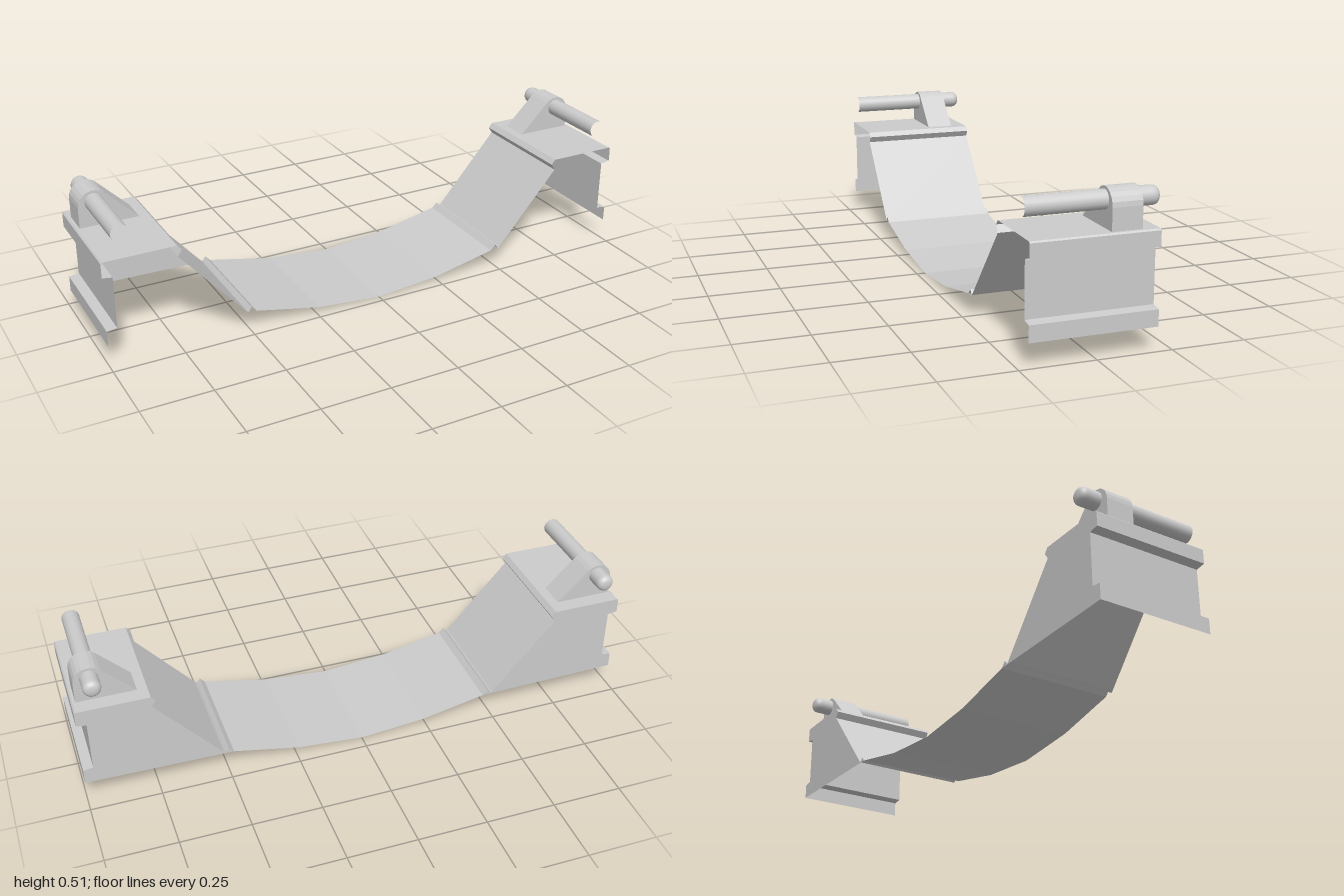
import * as THREE from 'three';

const BACK = -0.2, FRONT = 0.22;

const sheetMat = new THREE.MeshStandardMaterial({ color: 0xcccccc, flatShading: true, side: THREE.DoubleSide });
const pinMat = new THREE.MeshStandardMaterial({ color: 0xcccccc });

function add(parent, name, geometry, material) {
  const mesh = new THREE.Mesh(geometry, material);
  mesh.name = name;
  parent.add(mesh);
  return mesh;
}

// Thin sheet: a profile in x,y swept from back to front
function sweep(points) {
  const pos = [];
  for (let i = 0; i < points.length - 1; i++) {
    const [ax, ay] = points[i], [bx, by] = points[i + 1];
    pos.push(ax, ay, BACK, ax, ay, FRONT, bx, by, FRONT);
    pos.push(ax, ay, BACK, bx, by, FRONT, bx, by, BACK);
  }
  const g = new THREE.BufferGeometry();
  g.setAttribute('position', new THREE.Float32BufferAttribute(pos, 3));
  g.computeVertexNormals();
  return g;
}

// Profile of one end block, from the outer foot over the top to the sagging span
const blockProfile = [
  [1, 0.08], [1, 0.135], [0.965, 0.14], [0.965, 0.325], [1, 0.33], [1, 0.38], [0.995, 0.385],
  [0.745, 0.385], [0.73, 0.368], [0.745, 0.345],
  [0.515, 0.08], [0.508, 0.074], [0.495, 0.09], [0.477, 0.071],
];

function endBlock(s) {
  const block = new THREE.Group();
  block.name = s > 0 ? 'leftEndBlock' : 'rightEndBlock';
  const mirror = (pts) => pts.map(([x, y]) => [s * x, y]);
  const toShape = (pts) => new THREE.Shape(mirror(pts).map(([x, y]) => new THREE.Vector2(x, y)));

  add(block, 'blockShell', sweep(mirror(blockProfile)), sheetMat);

  // Back wall closes the shell on one side only
  add(block, 'backWall', new THREE.ShapeGeometry(toShape(blockProfile)).translate(0, 0, BACK), sheetMat);

  // Lug with a rounded head and a sloping inner edge
  const lug = [[0.985, 0.357]];
  for (let i = 0; i <= 8; i++) {
    const a = (i / 8) * Math.PI * 0.75;
    lug.push([0.93 + 0.055 * Math.cos(a), 0.457 + 0.055 * Math.sin(a)]);
  }
  lug.push([0.752, 0.357]);
  const lugGeo = new THREE.ExtrudeGeometry(toShape(lug), { depth: 0.1, bevelEnabled: false });
  add(block, 'lug', lugGeo.translate(0, 0, -0.145), sheetMat);

  // Pin: open at the front, rounded at the back
  const pin = [new THREE.Vector2(0.031, -FRONT), new THREE.Vector2(0.031, 0.19)];
  for (let i = 0; i <= 5; i++) {
    const a = (i / 5) * Math.PI / 2;
    pin.push(new THREE.Vector2(0.01 + 0.021 * Math.cos(a), 0.198 + 0.021 * Math.sin(a)));
  }
  pin.push(new THREE.Vector2(0, 0.22));
  const pinGeo = new THREE.LatheGeometry(pin, 24).rotateX(-Math.PI / 2);
  add(block, 'pin', pinGeo, pinMat).position.set(s * 0.93, 0.472, 0);
  return block;
}

export function createModel() {
  const model = new THREE.Group();
  model.name = 'saggingBridge';
  for (const s of [1, -1]) model.add(endBlock(s));

  // Sagging span between the blocks
  const span = [[-0.477, 0.071], [-0.24, 0.021], [0, 0], [0.24, 0.021], [0.477, 0.071]];
  add(model, 'span', sweep(span), sheetMat);
  return model;
}
